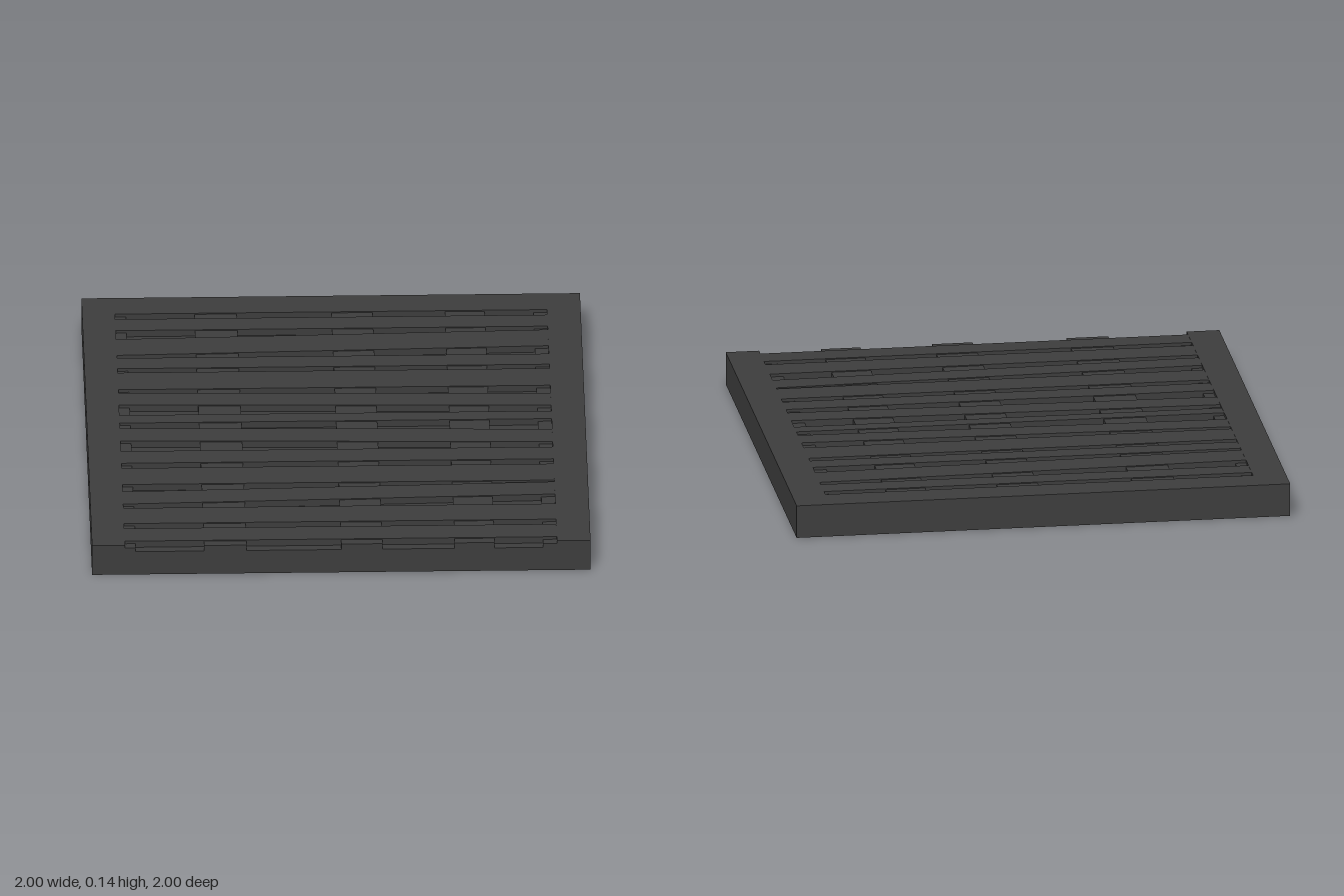
import * as THREE from 'three';

const FLOOR = 0.105, TOP = 0.135;
const material = new THREE.MeshStandardMaterial({ color: 0x3d3d3d });

// Upright prism from a plan outline of [x, z] points
function prism(name, outline, y0, y1) {
  const shape = new THREE.Shape(outline.map(([x, z]) => new THREE.Vector2(x, -z)));
  const geometry = new THREE.ExtrudeGeometry(shape, { depth: y1 - y0, bevelEnabled: false });
  geometry.rotateX(-Math.PI / 2).translate(0, y0, 0);
  const mesh = new THREE.Mesh(geometry, material);
  mesh.name = name;
  return mesh;
}

const rect = (x0, x1, z0, z1) => [[x0, z0], [x0, z1], [x1, z1], [x1, z0]];

export function createModel() {
  const model = new THREE.Group();
  model.name = 'slattedPanel';
  const inL = -0.868, inR = 0.865, inBack = -0.87;

  // Solid backing slab
  model.add(prism('base', rect(-1, 1, -1, 1), 0, FLOOR));

  // Raised border on three sides, open at the front
  model.add(prism('frame', [
    [-1, -1], [-1, 1], [inL, 1], [inL, inBack],
    [inR, inBack], [inR, 1], [1, 1], [1, -1],
  ], FLOOR, TOP));

  // Narrow ledges along the inner sides of the border
  model.add(prism('ledgeRight', rect(inL, -0.825, inBack, 1), FLOOR, 0.122));
  model.add(prism('ledgeLeft', rect(0.81, inR, inBack, 1), FLOOR, 0.122));

  // Cross bars running front to back beneath the slats
  for (const [x0, x1] of [[-0.55, -0.38], [0, 0.165], [0.455, 0.615]]) {
    model.add(prism('crossBar', rect(x0, x1, inBack, 1), FLOOR, 0.13));
  }

  // Slats: back edge and front edge z at the -x end, then at the +x end
  const slats = [
    [-0.83, -0.738, -0.83, -0.738],
    [-0.668, -0.538, -0.71, -0.58],
    [-0.515, -0.43, -0.515, -0.43],
    [-0.397, -0.26, -0.397, -0.26],
    [-0.235, -0.135, -0.195, -0.098],
    [-0.053, 0.01, -0.053, 0.01],
    [0.053, 0.155, 0.093, 0.195],
    [0.238, 0.335, 0.238, 0.335],
    [0.375, 0.507, 0.375, 0.507],
    [0.565, 0.665, 0.52, 0.62],
    [0.698, 0.823, 0.698, 0.823],
    [0.863, 0.965, 0.863, 0.965],
  ];
  for (const [backL, frontL, backR, frontR] of slats) {
    model.add(prism('slat', [
      [inL, backL], [inL, frontL], [inR, frontR], [inR, backR],
    ], FLOOR, 0.134));
  }
  return model;
}
